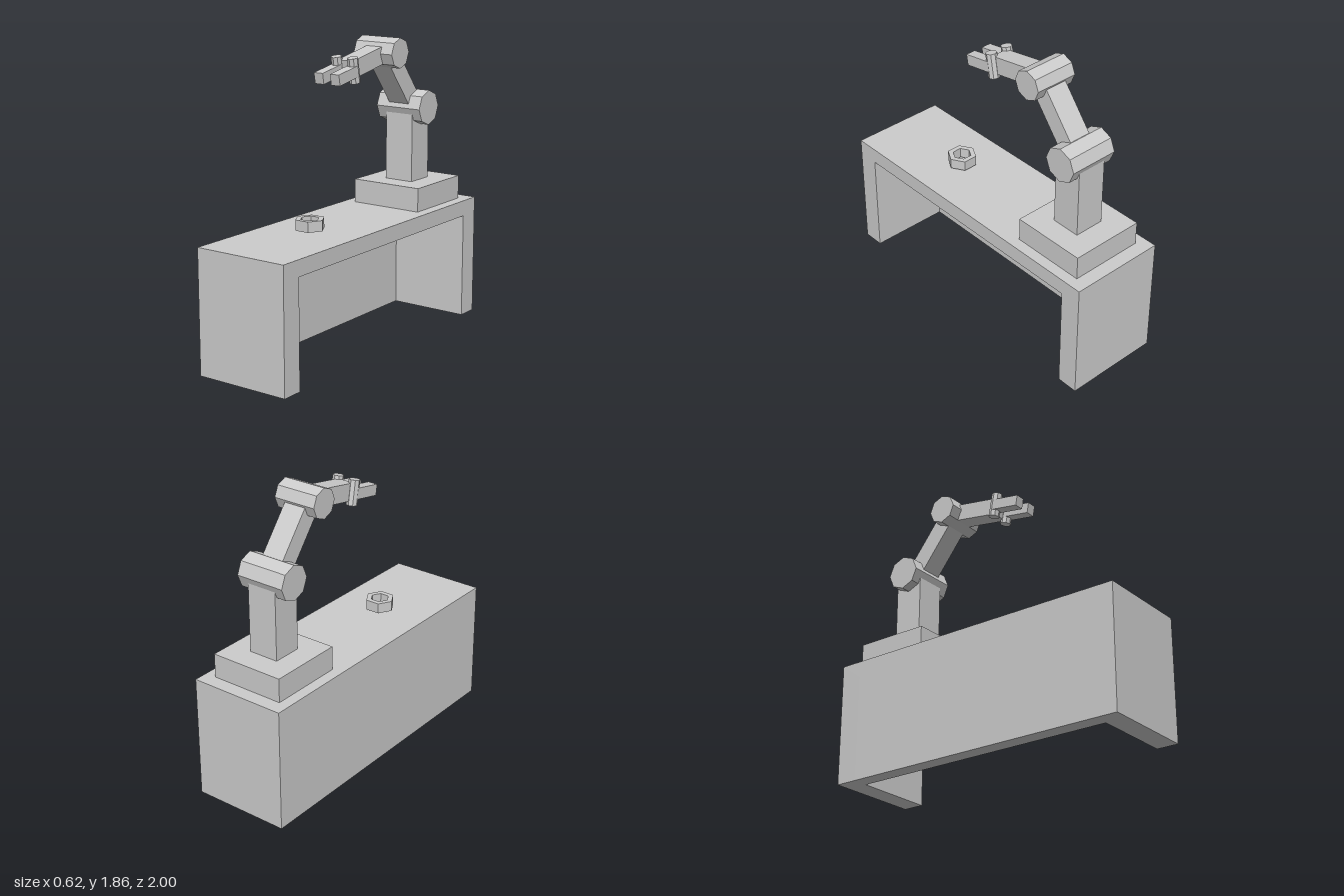
import * as THREE from 'three';

const material = new THREE.MeshStandardMaterial({ color: 0xcccccc, flatShading: true });

function add(parent, name, geometry, x, y, z) {
  const mesh = new THREE.Mesh(geometry, material);
  mesh.name = name;
  mesh.position.set(x, y, z);
  parent.add(mesh);
  return mesh;
}

const box = (parent, name, w, h, d, x, y, z) =>
  add(parent, name, new THREE.BoxGeometry(w, h, d), x, y, z);

// Box running between two [y, z] points in the arm's plane
function beam(parent, name, w, h, a, b, x = 0) {
  const dy = b[0] - a[0], dz = b[1] - a[1];
  const mesh = box(parent, name, w, h, Math.hypot(dy, dz), x, (a[0] + b[0]) / 2, (a[1] + b[1]) / 2);
  mesh.rotation.x = Math.atan2(-dy, dz);
  return mesh;
}

// Eight-sided drum lying across the arm
function joint(parent, name, r, width, [y, z]) {
  add(parent, name, new THREE.CylinderGeometry(r, r, width, 8).rotateZ(Math.PI / 2), 0, y, z);
}

const hexagon = (path, r) => path.setFromPoints(
  Array.from({ length: 6 }, (_, i) => new THREE.Vector2(r * Math.cos(i * Math.PI / 3), r * Math.sin(i * Math.PI / 3))));

export function createModel() {
  const model = new THREE.Group();
  model.name = 'robotArmWorkbench';

  // Bench: top with two legs, closed along one long side
  const bench = new THREE.Group();
  bench.name = 'bench';
  model.add(bench);
  const profile = new THREE.Shape([
    [-1, 0], [-0.863, 0], [-0.863, 0.67], [0.863, 0.67], [0.863, 0], [1, 0], [1, 0.77], [-1, 0.77],
  ].map(([u, v]) => new THREE.Vector2(u, v)));
  add(bench, 'benchFrame', new THREE.ExtrudeGeometry(profile, { depth: 0.62, bevelEnabled: false })
    .translate(0, 0, -0.31).rotateY(Math.PI / 2), 0, 0, 0);
  box(bench, 'benchBackPanel', 0.1, 0.67, 1.726, -0.26, 0.335, 0);

  // Arm
  const arm = new THREE.Group();
  arm.name = 'robotArm';
  model.add(arm);
  const shoulder = [1.39, -0.666], elbow = [1.762, -0.37], wrist = [1.695, 0];
  box(arm, 'pedestal', 0.48, 0.15, 0.48, 0, 0.845, -0.67);
  box(arm, 'column', 0.196, 0.47, 0.188, 0, 1.155, -0.666);
  joint(arm, 'shoulderJoint', 0.11, 0.32, shoulder);
  beam(arm, 'upperArm', 0.145, 0.12, shoulder, elbow);
  joint(arm, 'elbowJoint', 0.094, 0.28, elbow);
  beam(arm, 'forearm', 0.114, 0.108, elbow, wrist);

  // Gripper: a pivot pin and finger on each side
  for (const side of [-1, 1]) {
    const pin = add(arm, 'gripperPin', new THREE.CylinderGeometry(0.034, 0.034, 0.154, 8), side * 0.059, 1.694, 0.002);
    pin.rotation.x = THREE.MathUtils.degToRad(10);
    beam(arm, 'gripperFinger', 0.064, 0.068, [1.69, 0], [1.657, 0.188], side * 0.059);
  }

  // Hexagonal nut above the bench top
  const nut = hexagon(new THREE.Shape(), 0.092);
  nut.holes.push(hexagon(new THREE.Path(), 0.058));
  add(model, 'nut', new THREE.ExtrudeGeometry(nut, { depth: 0.065, bevelEnabled: false })
    .rotateX(-Math.PI / 2), 0, 0.79, 0.36);

  return model;
}
